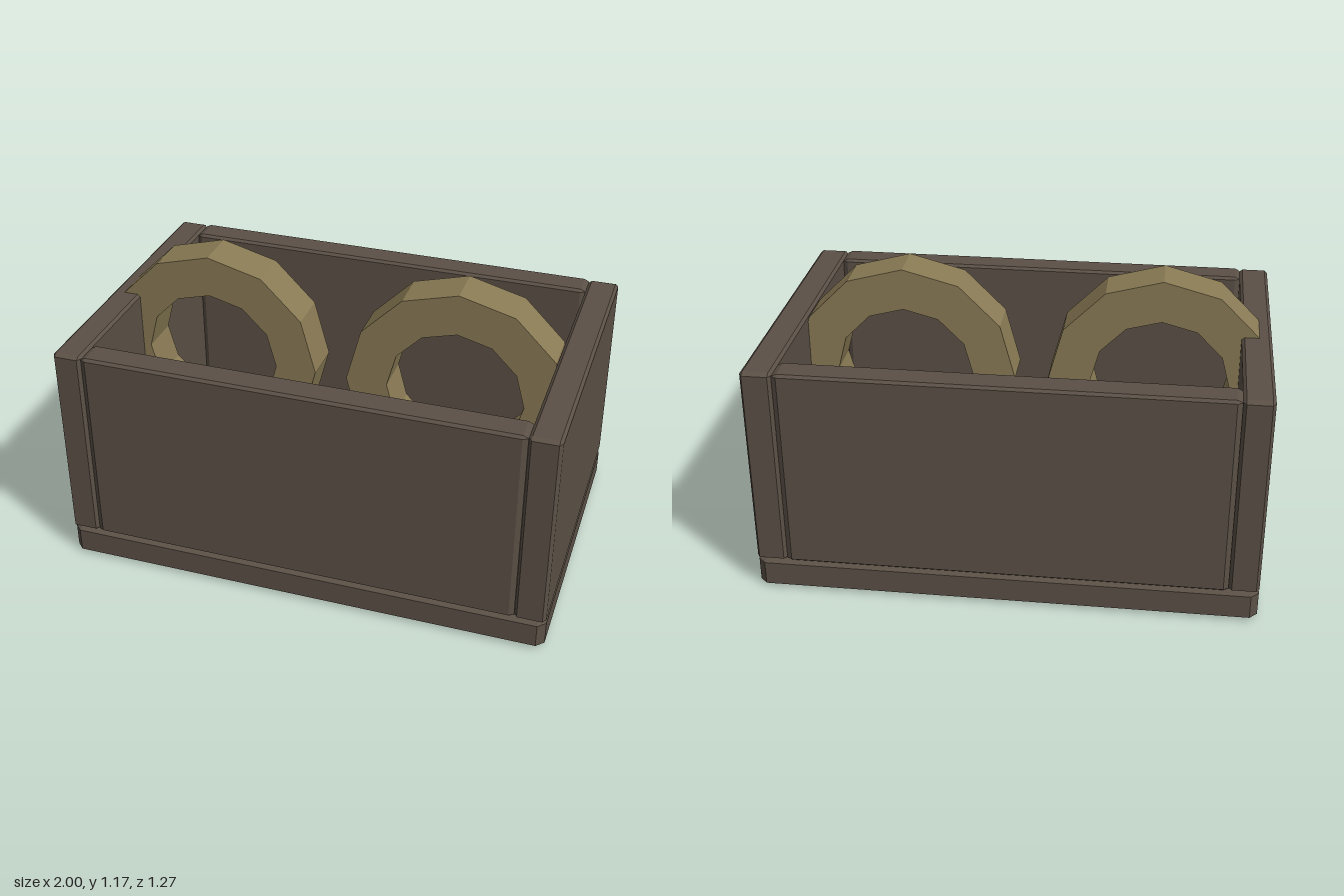
import * as THREE from 'three';
import { ConvexGeometry } from 'three/addons/geometries/ConvexGeometry.js';

const wood = new THREE.MeshStandardMaterial({ color: 0x5b5046, flatShading: true });
const brass = new THREE.MeshStandardMaterial({ color: 0x8a7b55, flatShading: true });

// Box between two corners with chamfered edges; the inset differs per axis
function chamferBox(name, min, max, inset) {
  const points = [];
  for (const sx of [-1, 1]) for (const sy of [-1, 1]) for (const sz of [-1, 1]) {
    const signs = [sx, sy, sz];
    for (let full = 0; full < 3; full++) {
      points.push(new THREE.Vector3(...signs.map((s, i) =>
        s * ((max[i] - min[i]) / 2 - (i === full ? 0 : inset[i])))));
    }
  }
  const mesh = new THREE.Mesh(new ConvexGeometry(points), wood);
  mesh.name = name;
  mesh.position.set(...min.map((m, i) => (m + max[i]) / 2));
  return mesh;
}

// Corner points of a regular twelve-sided outline
function dodecagon(radius) {
  return Array.from({ length: 12 }, (_, i) => {
    const a = i * Math.PI / 6;
    return new THREE.Vector2(radius * Math.cos(a), radius * Math.sin(a));
  });
}

// Faceted flat ring standing upright, facing the front
function ring(name, x) {
  const shape = new THREE.Shape(dodecagon(0.45));
  shape.holes.push(new THREE.Path(dodecagon(0.28).reverse()));
  const geometry = new THREE.ExtrudeGeometry(shape, { depth: 0.175, bevelEnabled: false });
  geometry.translate(0, 0, -0.0875);
  const mesh = new THREE.Mesh(geometry, brass);
  mesh.name = name;
  mesh.position.set(x, 0.72, 0);
  return mesh;
}

export function createModel() {
  const model = new THREE.Group();
  model.name = 'crateWithRings';

  // Base slab
  model.add(chamferBox('base', [-0.98, 0, -0.633], [1, 0.127, 0.633], [0.03, 0.015, 0.03]));

  // Full-depth side walls
  const wallInset = [0.012, 0.01, 0.02];
  model.add(chamferBox('rightWall', [-0.98, 0.128, -0.633], [-0.862, 0.953, 0.633], wallInset));
  model.add(chamferBox('leftWall', [0.877, 0.128, -0.633], [1, 0.953, 0.633], wallInset));

  // Front and back panels between the side walls
  const panelInset = [0.02, 0.01, 0.012];
  model.add(chamferBox('frontPanel', [-0.862, 0.128, 0.513], [0.877, 0.953, 0.633], panelInset));
  model.add(chamferBox('backPanel', [-0.862, 0.128, -0.633], [0.877, 0.953, -0.513], panelInset));

  // Two rings standing in the crate; one pokes slightly through the side
  model.add(ring('rightRing', -0.55));
  model.add(ring('leftRing', 0.482));

  return model;
}
